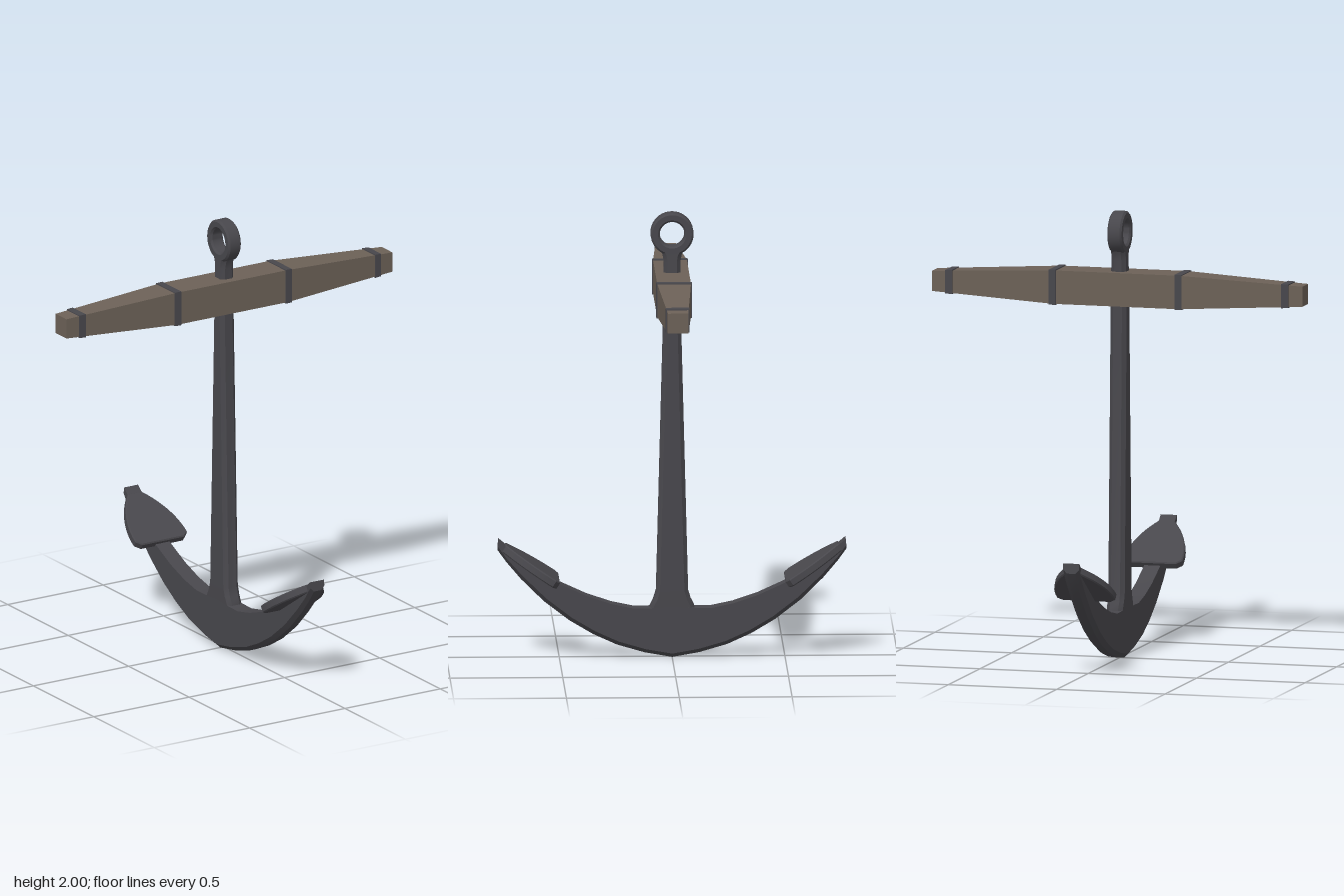
import * as THREE from 'three';
import { toCreasedNormals } from 'three/addons/utils/BufferGeometryUtils.js';

// Skin a list of rings (each [x, y, z] points, counterclockwise about the travel direction), capped at both ends
function loft(rings, crease = 0.5) {
  const pos = [];
  const tri = (a, b, c) => pos.push(...a, ...b, ...c);
  const n = rings[0].length;
  for (let i = 0; i < rings.length - 1; i++) {
    for (let j = 0; j < n; j++) {
      const k = (j + 1) % n;
      tri(rings[i][j], rings[i][k], rings[i + 1][k]);
      tri(rings[i][j], rings[i + 1][k], rings[i + 1][j]);
    }
  }
  const first = rings[0], last = rings[rings.length - 1];
  for (let j = 1; j < n - 1; j++) {
    tri(first[0], first[j + 1], first[j]);
    tri(last[0], last[j], last[j + 1]);
  }
  const geo = new THREE.BufferGeometry();
  geo.setAttribute('position', new THREE.Float32BufferAttribute(pos, 3));
  return toCreasedNormals(geo, crease);
}

export function createModel() {
  const model = new THREE.Group();
  model.name = 'anchor';
  const iron = new THREE.MeshStandardMaterial({ color: 0x48474c });
  iron.name = 'dark iron';
  const wood = new THREE.MeshStandardMaterial({ color: 0x6c6157 });
  wood.name = 'weathered wood';
  const add = (name, geo, mat, parent = model) => {
    const mesh = new THREE.Mesh(geo, mat);
    mesh.name = name;
    parent.add(mesh);
    return mesh;
  };

  // Shank: chamfered bar, tapering upwards, flared at the crown and below the ring
  const shankRing = ([y, hz, hx]) => {
    const c = 0.017;
    return [
      [hx - c, y, hz], [hx, y, hz - c], [hx, y, -hz + c], [hx - c, y, -hz],
      [-hx + c, y, -hz], [-hx, y, -hz + c], [-hx, y, hz - c], [-hx + c, y, hz],
    ];
  };
  add('shank', loft([
    [0.16, 0.1, 0.036], [0.23, 0.098, 0.037], [0.26, 0.083, 0.038], [0.3, 0.071, 0.038],
    [1.58, 0.038, 0.037], [1.78, 0.037, 0.034], [1.81, 0.042, 0.033], [1.84, 0.056, 0.033],
  ].map(shankRing)), iron);

  // Ring eye at the top of the shank
  const eye = new THREE.Shape().absarc(0, 0, 0.095, 0, Math.PI * 2);
  eye.holes.push(new THREE.Path().absarc(0, 0, 0.055, 0, Math.PI * 2, true));
  const eyeGeo = new THREE.ExtrudeGeometry(eye, {
    depth: 0.05, curveSegments: 20, bevelSize: 0.008, bevelOffset: -0.008, bevelThickness: 0.008, bevelSegments: 1,
  });
  eyeGeo.translate(0, 0, -0.025).rotateY(Math.PI / 2);
  add('ringEye', toCreasedNormals(eyeGeo, 0.5), iron).position.y = 1.905;

  // Curved arms: outer (z, y) and inner (z, y) edge for each station from crown to tip
  const half = [
    [0, 0, 0, 0.23],
    [0.12, 0.021, 0.09, 0.223],
    [0.244, 0.057, 0.17, 0.222],
    [0.35, 0.105, 0.27, 0.243],
    [0.456, 0.168, 0.38, 0.28],
    [0.57, 0.256, 0.5, 0.335],
    [0.67, 0.355, 0.64, 0.43],
    [0.735, 0.432, 0.73, 0.497],
    [0.773, 0.485, 0.769, 0.53],
  ];
  const mirrored = half.slice(1).reverse().map(([oz, oy, iz, iy]) => [-oz, oy, -iz, iy]);
  const armRing = ([oz, oy, iz, iy]) => {
    const w = 0.037, f = 0.018 / Math.hypot(iz - oz, iy - oy);
    const sz = oz + (iz - oz) * f, sy = oy + (iy - oy) * f;
    return [
      [w, iy, iz], [-w, iy, iz], [-w, sy, sz],
      [-w * 0.5, oy, oz], [w * 0.5, oy, oz], [w, sy, sz],
    ];
  };
  add('arms', loft([...mirrored, ...half].map(armRing), 0.4), iron);

  // Flukes: spade plates lying on the arm ends
  const fluke = new THREE.Shape();
  fluke.moveTo(-0.11, 0);
  fluke.lineTo(0.11, 0);
  fluke.lineTo(0.135, 0.022);
  fluke.lineTo(0.135, 0.05);
  fluke.bezierCurveTo(0.13, 0.14, 0.09, 0.22, 0.036, 0.285);
  fluke.lineTo(-0.036, 0.285);
  fluke.bezierCurveTo(-0.09, 0.22, -0.13, 0.14, -0.135, 0.05);
  fluke.lineTo(-0.135, 0.022);
  fluke.closePath();
  const flukeGeo = toCreasedNormals(new THREE.ExtrudeGeometry(fluke, {
    depth: 0.026, curveSegments: 10, bevelSize: 0.005, bevelOffset: -0.005, bevelThickness: 0.005, bevelSegments: 1,
  }).translate(0, 0, 0.005), 0.5);
  for (const [name, turn] of [['frontFluke', 0], ['backFluke', Math.PI]]) {
    const holder = new THREE.Group();
    holder.name = name;
    holder.rotation.y = turn;
    const plate = add(name + 'Plate', flukeGeo, iron, holder);
    plate.position.set(0, 0.355, 0.497);
    plate.rotation.x = THREE.MathUtils.degToRad(57);
    model.add(holder);
  }

  // Wooden stock: square beam tapering to both ends
  const stockY = 1.657;
  const halfSize = (x) => 0.075 - 0.03 * Math.max(0, (Math.abs(x) - 0.29) / 0.565);
  const square = (x, extra = 0) => {
    const s = halfSize(x) + extra;
    return [[x, stockY + s, -s], [x, stockY + s, s], [x, stockY - s, s], [x, stockY - s, -s]];
  };
  add('stock', loft([-0.855, -0.29, 0.29, 0.855].map((x) => square(x)), 0.03), wood);

  // Iron bands around the stock
  for (const x of [-0.775, -0.29, 0.29, 0.775]) {
    add('stockBand', loft([square(x - 0.016, 0.004), square(x + 0.016, 0.004)], 0.03), iron);
  }
  return model;
}
